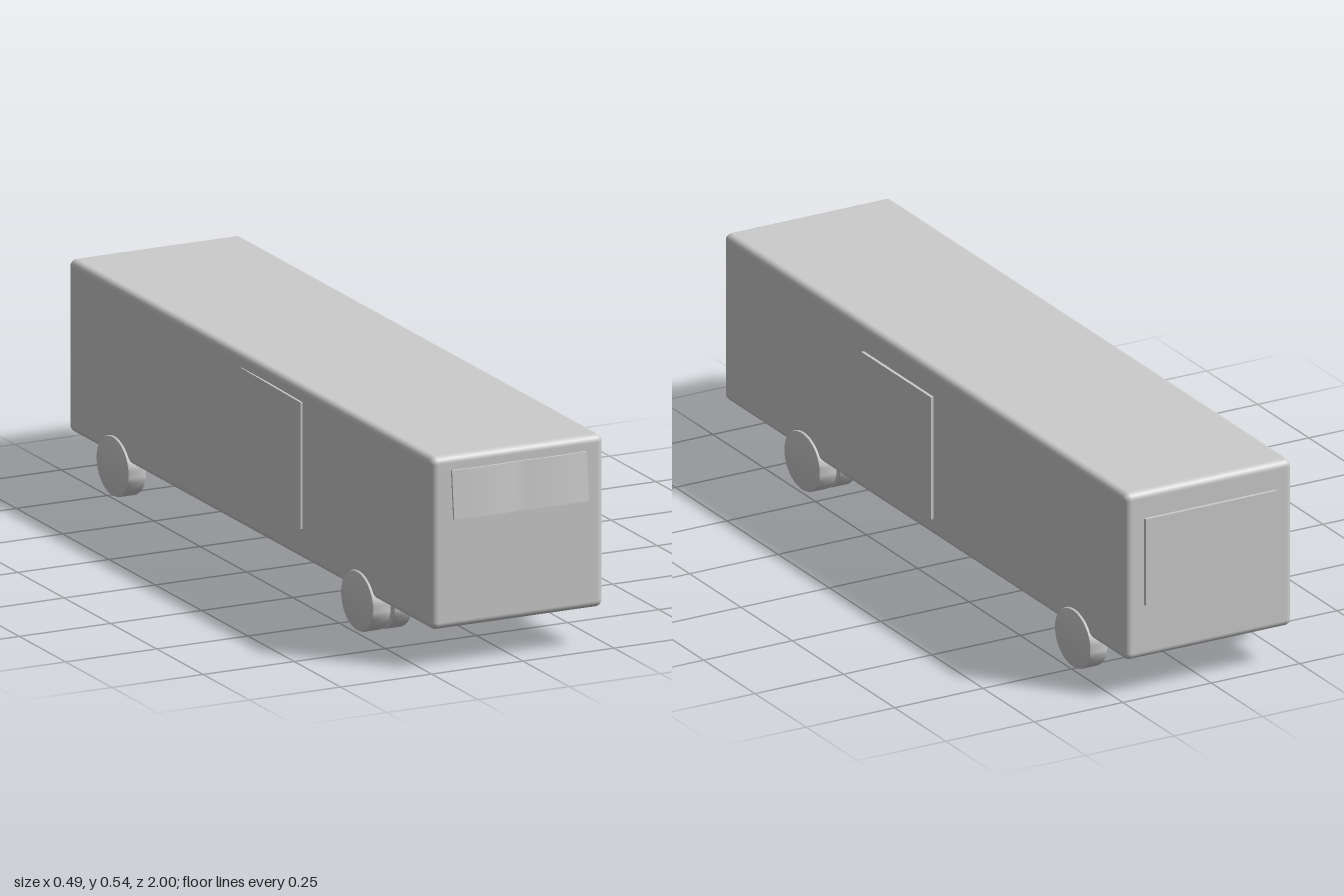
import * as THREE from 'three';
import { RoundedBoxGeometry } from 'three/addons/geometries/RoundedBoxGeometry.js';
import { toCreasedNormals } from 'three/addons/utils/BufferGeometryUtils.js';

const grey = new THREE.MeshStandardMaterial({ color: 0xcccccc });

function add(parent, name, geometry, x, y, z) {
  const mesh = new THREE.Mesh(geometry, grey);
  mesh.name = name;
  mesh.position.set(x, y, z);
  parent.add(mesh);
  return mesh;
}

// Tyre: a solid disc with softened rims, axle along x, slightly wider than tall
function tyreGeometry(width) {
  const h = width / 2, b = 0.006, r = 0.076;
  const profile = [[0, -h], [r - b, -h], [r - b * 0.3, -h + b * 0.3], [r, -h + b],
    [r, h - b], [r - b * 0.3, h - b * 0.3], [r - b, h], [0, h]]
    .map(([px, py]) => new THREE.Vector2(px, py));
  const geometry = new THREE.LatheGeometry(profile, 48);
  geometry.rotateZ(-Math.PI / 2);
  geometry.scale(1, 1, 1.16);
  return toCreasedNormals(geometry, 0.6);
}

// Windscreen: thin pane leaning out at the bottom, with two shallow bulges
function windscreenGeometry() {
  const geometry = new THREE.BoxGeometry(0.37, 0.122, 0.006, 32, 8, 1);
  const p = geometry.attributes.position;
  for (let i = 0; i < p.count; i++) {
    const bulge = 0.004 * Math.sin(Math.PI * Math.abs(p.getX(i)) / 0.185);
    p.setZ(i, p.getZ(i) + bulge - p.getY(i) * 0.1);
  }
  return toCreasedNormals(geometry, 0.6);
}

export function createModel() {
  const bus = new THREE.Group();
  bus.name = 'bus';

  add(bus, 'body', new RoundedBoxGeometry(0.472, 0.44, 1.965, 5, 0.018), 0, 0.32, -0.0085);

  // Glass at both ends
  add(bus, 'windscreen', windscreenGeometry(), 0, 0.444, 0.985);
  add(bus, 'rearWindow', new THREE.BoxGeometry(0.37, 0.228, 0.01), 0, 0.356, -0.995);

  // Side doors, the right one set a little higher and slightly skewed
  add(bus, 'leftDoor', new THREE.BoxGeometry(0.008, 0.323, 0.34), 0.241, 0.309, 0.115);
  const rightDoor = add(bus, 'rightDoor', new THREE.BoxGeometry(0.006, 0.322, 0.34), -0.2395, 0.344, 0.115);
  rightDoor.rotation.y = -0.024;

  // Twin wheels on the front axle, single wheels at the rear
  const tyre = tyreGeometry(0.052);
  for (const side of [1, -1]) {
    add(bus, 'frontOuterWheel', tyre, side * 0.217, 0.076, 0.58);
    add(bus, 'frontInnerWheel', tyre, side * 0.158, 0.076, 0.58);
    add(bus, 'rearWheel', tyre, side * 0.217, 0.076, -0.74);
  }
  return bus;
}
